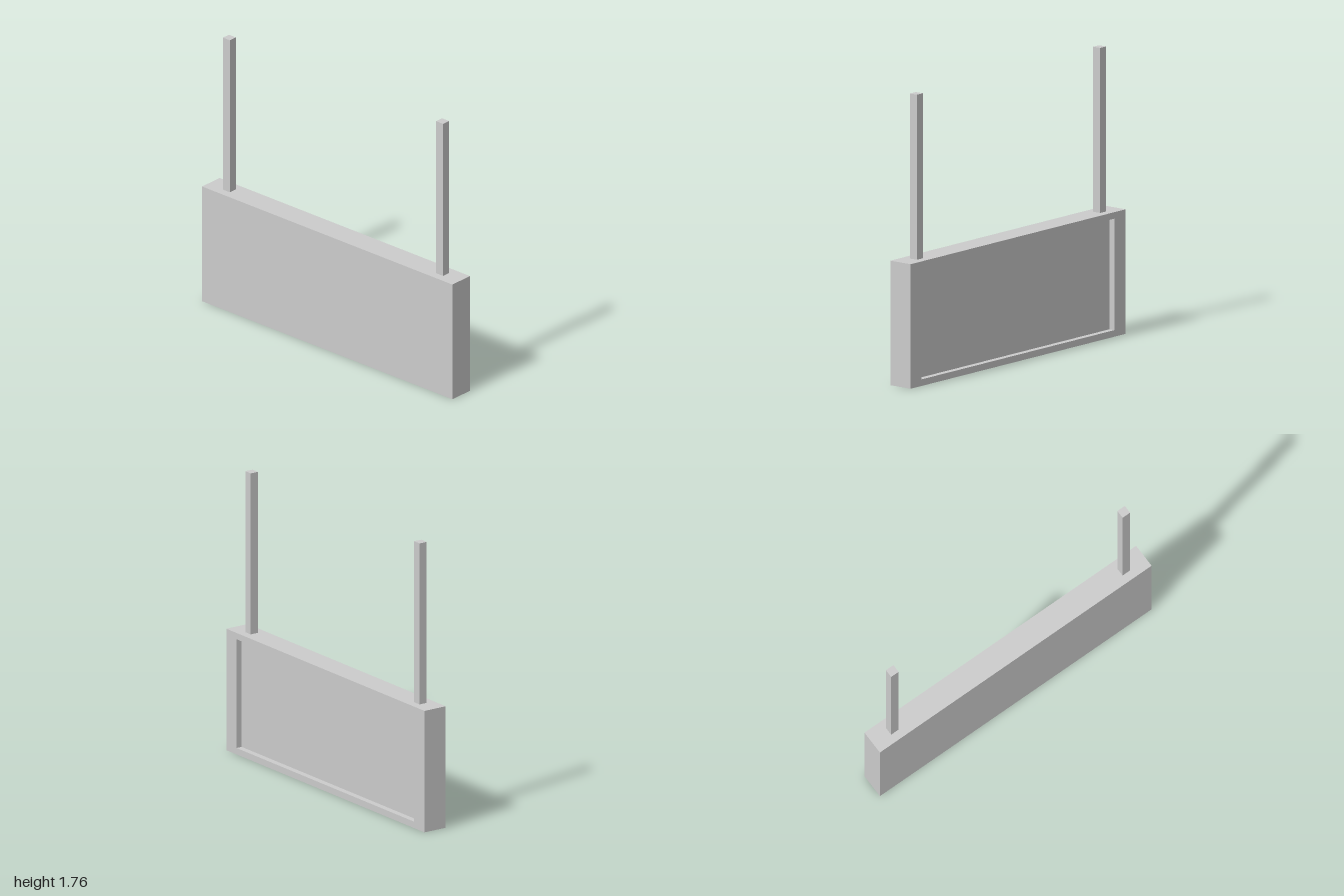
import * as THREE from 'three';

const HALF_DEPTH = 0.078, HEIGHT = 0.757, TOP = 1.76, RECESS = 0.038;

// Adds a closed rectangle, centred on x = 0, to a shape or hole path
function rect(path, halfWidth, y0, y1) {
  path.moveTo(-halfWidth, y0);
  path.lineTo(halfWidth, y0);
  path.lineTo(halfWidth, y1);
  path.lineTo(-halfWidth, y1);
  path.closePath();
  return path;
}

export function createModel() {
  const group = new THREE.Group();
  const material = new THREE.MeshStandardMaterial({ color: 0xcccccc });
  const add = (name, geometry, x, y, z) => {
    const mesh = new THREE.Mesh(geometry, material);
    mesh.name = name;
    mesh.position.set(x, y, z);
    group.add(mesh);
  };

  // Solid sign body behind the recess
  const bodyDepth = HALF_DEPTH * 2 - RECESS;
  add('signBody', new THREE.BoxGeometry(bodyDepth, HEIGHT, 2), -RECESS / 2, HEIGHT / 2, 0);

  // Raised border around the recessed panel, facing +x
  const border = rect(new THREE.Shape(), 1, 0, HEIGHT);
  border.holes.push(rect(new THREE.Path(), 0.897, 0.04, 0.718));
  const borderGeometry = new THREE.ExtrudeGeometry(border, { depth: RECESS, bevelEnabled: false });
  borderGeometry.rotateY(Math.PI / 2);
  add('signBorder', borderGeometry, HALF_DEPTH - RECESS, 0, 0);

  // Two square hanging posts
  const postHeight = TOP - HEIGHT;
  for (const side of [1, -1]) {
    add(side > 0 ? 'frontPost' : 'backPost', new THREE.BoxGeometry(0.053, postHeight, 0.055),
      0, HEIGHT + postHeight / 2, side * 0.852);
  }
  return group;
}
